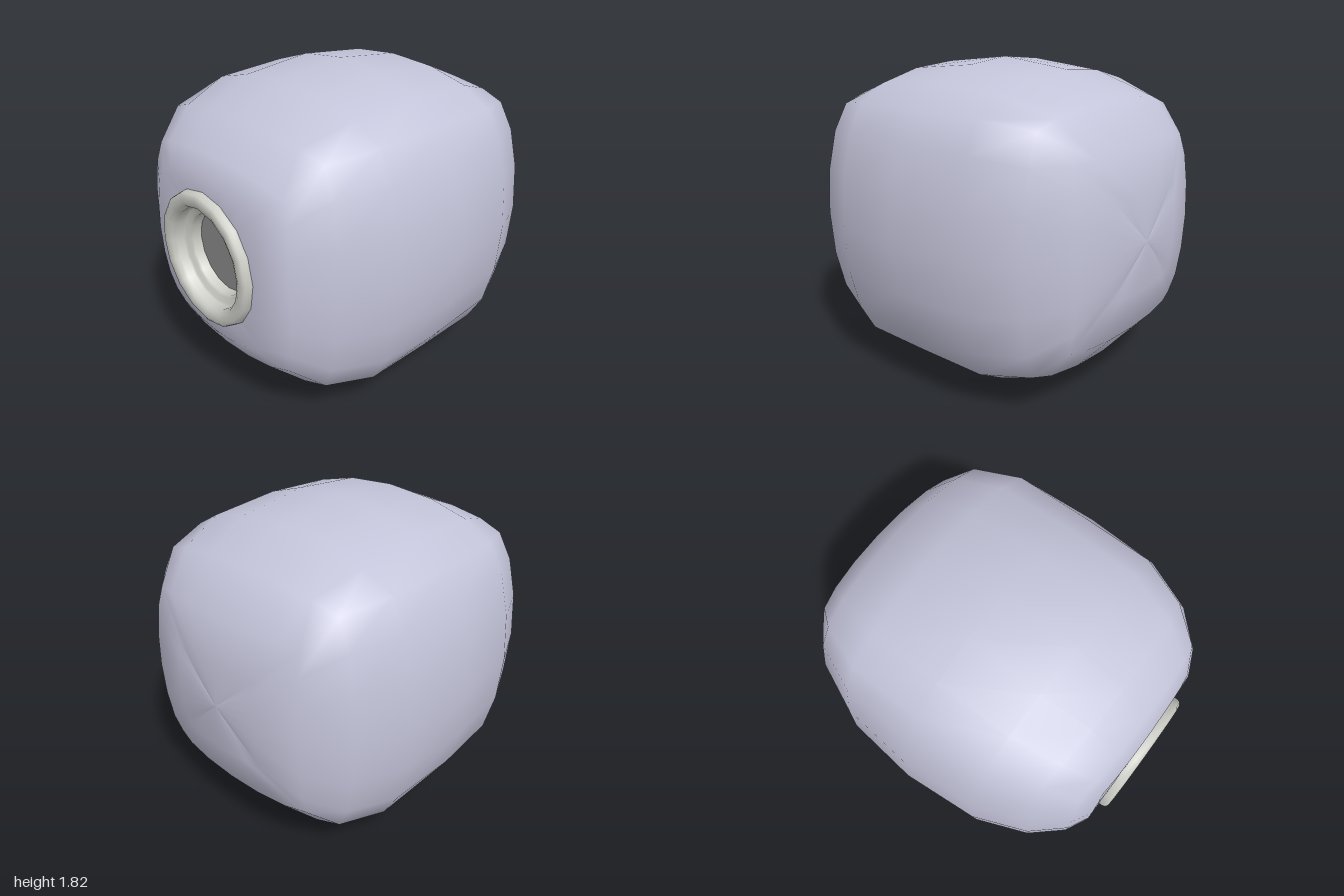
import * as THREE from 'three';

const CENTER_Y = 0.912;

// Body stations along x: [x, half-height, half-depth] at mid-side, then [x, y, z] at the corner
const STATIONS = [
  [-0.95, 0.34, 0.34, -0.95, 0.24, 0.24],
  [-0.95, 0.465, 0.49, -0.935, 0.38, 0.41],
  [-0.89, 0.57, 0.605, -0.86, 0.49, 0.53],
  [-0.72, 0.725, 0.76, -0.68, 0.64, 0.62],
  [-0.42, 0.86, 0.885, -0.41, 0.68, 0.715],
  [0.02, 0.91, 0.927, 0.02, 0.68, 0.72],
  [0.46, 0.86, 0.885, 0.45, 0.68, 0.715],
  [0.76, 0.725, 0.76, 0.72, 0.64, 0.62],
  [0.94, 0.515, 0.56, 0.885, 0.49, 0.525],
  [1, 0.27, 0.295, 0.975, 0.26, 0.285],
  [1, 0, 0, 1, 0, 0],
];

// From the middle of a side to its corner: how far along, and how far it has dropped
const ALONG = [0, 0.41, 0.76, 1];
const DROP = [0, 0.125, 0.47, 1];

// 24-sided rounded-square section at one station
function section([x, midY, midZ, cornerX, cornerY, cornerZ]) {
  const mix = THREE.MathUtils.lerp;
  const points = [];
  for (let side = 0; side < 4; side++) {
    const sign = side < 2 ? 1 : -1;
    for (let k = -3; k < 3; k++) {
      const a = ALONG[Math.abs(k)] * Math.sign(k);
      const d = DROP[Math.abs(k)];
      const px = mix(x, cornerX, d);
      if (side % 2 === 0) points.push([px, sign * mix(midY, cornerY, d), sign * a * cornerZ]);
      else points.push([px, -sign * a * cornerY, sign * mix(midZ, cornerZ, d)]);
    }
  }
  return points;
}

// Rounded block lofted through the sections
function bodyGeometry() {
  const sections = STATIONS.map(section);
  const n = sections[0].length;
  const last = sections.length - 1;
  const index = [];
  for (let i = 0; i < last; i++) {
    for (let j = 0; j < n; j++) {
      const a = i * n + j;
      const b = i * n + (j + 1) % n;
      index.push(a, b, a + n);
      if (i < last - 1) index.push(b, b + n, a + n);
    }
  }
  const geometry = new THREE.BufferGeometry();
  geometry.setAttribute('position', new THREE.Float32BufferAttribute(sections.flat(2), 3));
  geometry.setIndex(index);
  geometry.computeVertexNormals();
  return geometry;
}

export function createModel() {
  const model = new THREE.Group();
  const add = (name, geometry, color) => {
    const material = new THREE.MeshStandardMaterial({ color, side: THREE.DoubleSide });
    const mesh = new THREE.Mesh(geometry, material);
    mesh.name = name;
    mesh.position.y = CENTER_Y;
    model.add(mesh);
    return mesh;
  };

  add('body', bodyGeometry(), 0xc4c4da);

  // Rounded rim with a stepped recess, turned around the x axis
  const profile = [
    [0.235, -0.84], [0.24, -0.89], [0.25, -0.905], [0.28, -0.912], [0.288, -0.925], [0.29, -0.965],
    [0.305, -0.99], [0.33, -1], [0.36, -1], [0.378, -0.99], [0.385, -0.97], [0.385, -0.94],
  ].map(([r, x]) => new THREE.Vector2(r, x));
  add('socketRim', new THREE.LatheGeometry(profile, 16).rotateZ(-Math.PI / 2), 0xccccc6);

  // Dark floor of the recess
  const floor = new THREE.CircleGeometry(0.24, 16).rotateY(-Math.PI / 2);
  add('socketFloor', floor, 0x8a8a8a).position.x = -0.84;

  return model;
}
